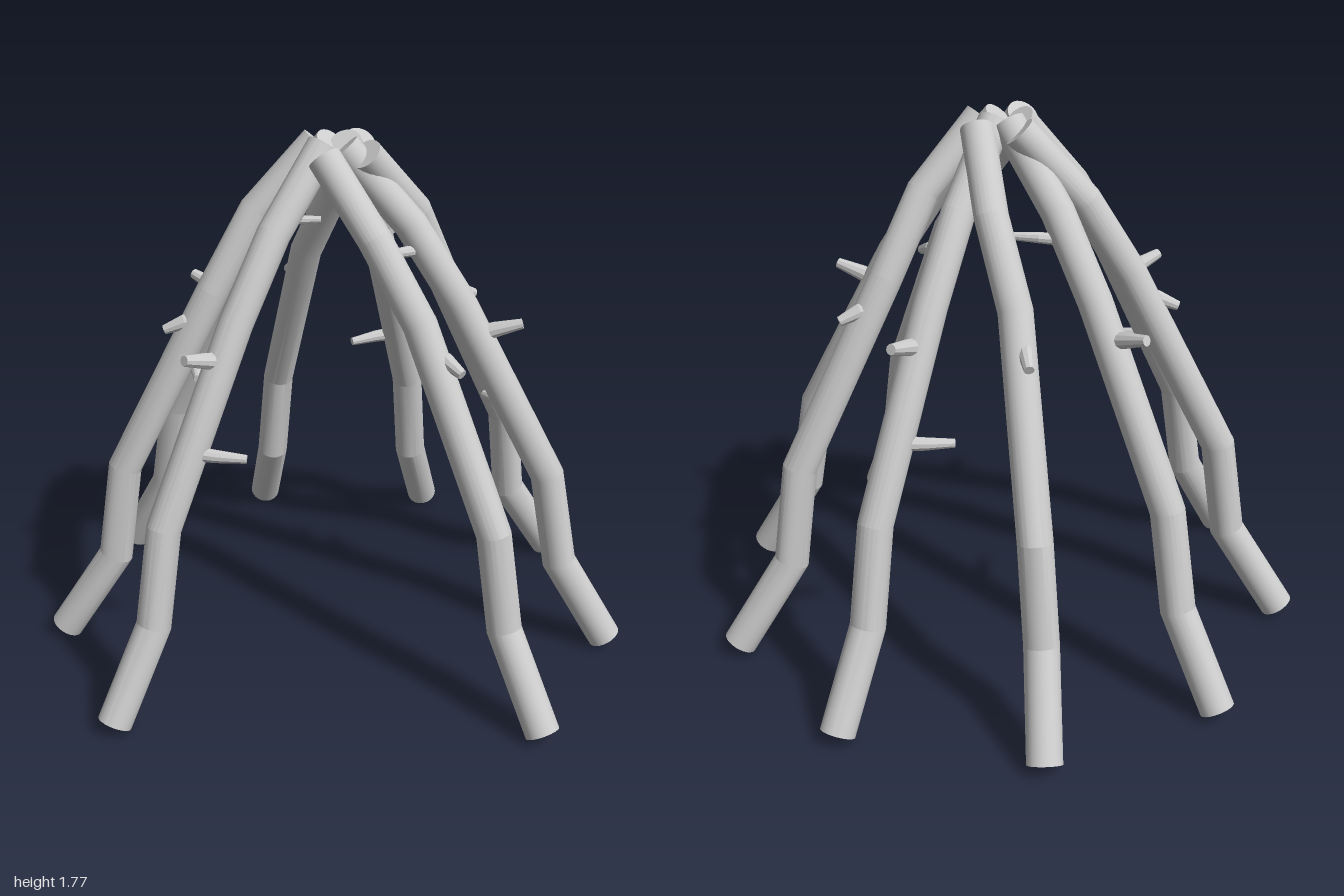
import * as THREE from 'three';
import { toCreasedNormals } from 'three/addons/utils/BufferGeometryUtils.js';

const wood = new THREE.MeshStandardMaterial({ color: 0xcccccc });

// Round log along a bent path, with mitred elbows and closed ends.
function log(name, path, radii, sides = 24) {
  const p = path.map((a) => new THREE.Vector3(...a));
  const dirs = p.slice(1).map((q, i) => q.clone().sub(p[i]).normalize());
  const e1 = new THREE.Vector3(0, 0, 1).cross(dirs[0]).normalize();
  const e2 = dirs[0].clone().cross(e1);
  let ring = [];
  for (let j = 0; j < sides; j++) {
    const a = (j / sides) * Math.PI * 2;
    ring.push(e1.clone().multiplyScalar(Math.cos(a)).addScaledVector(e2, Math.sin(a)));
  }
  const pos = [];
  const index = [];
  p.forEach((c, i) => {
    if (i > 0) {
      // slide the ring along the segment onto the mitre plane
      const d = dirs[i - 1];
      const n = d.clone().add(dirs[i] ?? d).normalize();
      ring = ring.map((o) => o.clone().addScaledVector(d, -o.dot(n) / d.dot(n)));
    }
    ring.forEach((o) => pos.push(...c.clone().addScaledVector(o, radii[i]).toArray()));
  });
  const last = (p.length - 1) * sides;
  const startCentre = p.length * sides;
  pos.push(...p[0].toArray(), ...p[p.length - 1].toArray());
  for (let j = 0; j < sides; j++) {
    const k = (j + 1) % sides;
    for (let i = 0; i < last; i += sides) {
      index.push(i + j, i + k, i + sides + k, i + j, i + sides + k, i + sides + j);
    }
    index.push(startCentre, k, j, startCentre + 1, last + j, last + k);
  }
  const geo = new THREE.BufferGeometry();
  geo.setAttribute('position', new THREE.Float32BufferAttribute(pos, 3));
  geo.setIndex(index);
  const mesh = new THREE.Mesh(toCreasedNormals(geo, 0.3), wood);
  mesh.name = name;
  return mesh;
}

const poleRadii = [0.056, 0.056, 0.055, 0.054, 0.053, 0.053];

// Pole leaning straight to the centre, with three twig stubs.
function straightPole() {
  const g = new THREE.Group();
  g.name = 'straightPole';
  const l = 0.022;
  g.add(
    log('pole', [[0.95, 0.028, l], [0.775, 0.32, l], [0.715, 0.65, l],
      [0.4, 1.25, l], [0.24, 1.5, l], [0.03, 1.735, l]], poleRadii),
    log('outerTwig', [[0.44, 1.13, l], [0.52, 1.16, l], [0.605, 1.185, l]], [0.032, 0.026, 0.017], 10),
    log('sideTwig', [[0.59, 0.875, 0], [0.555, 0.872, -0.05], [0.49, 0.865, -0.12]], [0.024, 0.021, 0.014], 10),
    log('innerTwig', [[0.27, 1.42, 0.03], [0.225, 1.43, 0.09], [0.15, 1.43, 0.14]], [0.02, 0.017, 0.012], 10),
  );
  return g;
}

// Pole that curves sideways near the top, with one stub.
function curvedPole() {
  const g = new THREE.Group();
  g.name = 'curvedPole';
  g.add(
    log('pole', [[0.95, 0.028, 0], [0.76, 0.32, -0.015], [0.71, 0.65, 0],
      [0.395, 1.26, 0.02], [0.25, 1.51, 0.075], [0.05, 1.725, 0.095]], poleRadii),
    log('outerTwig', [[0.43, 1.17, 0.01], [0.49, 1.165, 0], [0.555, 1.14, 0]], [0.03, 0.025, 0.016], 10),
  );
  return g;
}

export function createModel() {
  const model = new THREE.Group();
  model.name = 'poleFrame';
  // eight poles, alternating kinds, leaving a wider gap as the entrance
  const step = (Math.PI * 3) / 14;
  for (let i = 0; i < 8; i++) {
    const pole = i % 2 ? straightPole() : curvedPole();
    pole.rotation.y = i * step;
    pole.position.set(0, 0, -0.01);
    model.add(pole);
  }
  return model;
}
